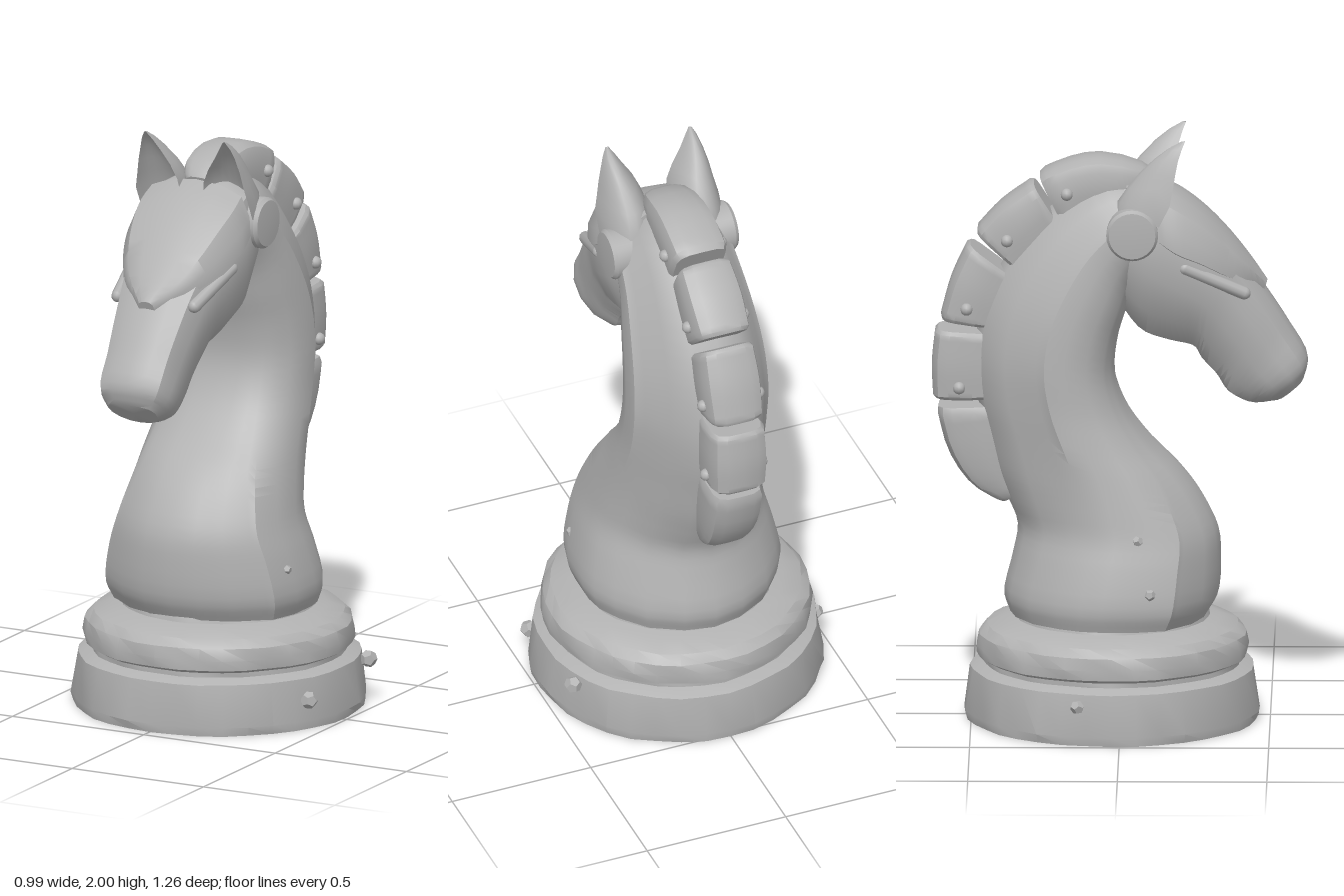
import * as THREE from 'three';
import { mergeVertices, toCreasedNormals } from 'three/addons/utils/BufferGeometryUtils.js';

const stone = new THREE.MeshStandardMaterial({ color: 0xb2b2b2 });
stone.name = 'grey stone';

function part(name, geometry, parent) {
  const mesh = new THREE.Mesh(geometry, stone);
  mesh.name = name;
  parent.add(mesh);
  return mesh;
}

// Skin a list of closed rings, cap both ends and turn the faces outwards
function skin(rings, crease = 0.6) {
  const n = rings[0].length, pos = [], idx = [];
  rings.forEach(r => r.forEach(p => pos.push(p.x, p.y, p.z)));
  for (let i = 0; i < rings.length - 1; i++) {
    for (let j = 0; j < n; j++) {
      const a = i * n + j, b = i * n + (j + 1) % n;
      idx.push(a, b, a + n, b, b + n, a + n);
    }
  }
  [0, rings.length - 1].forEach(i => {
    const c = new THREE.Vector3();
    rings[i].forEach(p => c.addScaledVector(p, 1 / n));
    const ci = pos.length / 3;
    pos.push(c.x, c.y, c.z);
    for (let j = 0; j < n; j++) {
      const a = i * n + j, b = i * n + (j + 1) % n;
      if (i === 0) idx.push(ci, b, a); else idx.push(ci, a, b);
    }
  });
  const v = k => new THREE.Vector3(pos[3 * k], pos[3 * k + 1], pos[3 * k + 2]);
  let volume = 0;
  for (let i = 0; i < idx.length; i += 3) volume += v(idx[i]).dot(v(idx[i + 1]).cross(v(idx[i + 2])));
  if (volume < 0) idx.reverse();
  const g = new THREE.BufferGeometry();
  g.setAttribute('position', new THREE.Float32BufferAttribute(pos, 3));
  g.setIndex(idx);
  return toCreasedNormals(g, crease);
}

// Mirrored cross-sections between two edge lines.
// rows: [z, y of first edge, z, y of second edge, half width]; profile(t): [[depth 0..1, width 0..1], ...]
function loft(rows, profile, steps, bevel = 1, crease = 0.6) {
  const A = new THREE.CatmullRomCurve3(rows.map(r => new THREE.Vector3(r[4], r[1], r[0])));
  const B = new THREE.CatmullRomCurve3(rows.map(r => new THREE.Vector3(0, r[3], r[2])));
  const ts = Array.from({ length: steps + 1 }, (_, i) => i / steps);
  if (bevel < 1) ts.splice(1, 0, 0.05), ts.splice(ts.length - 1, 0, 0.95);
  const rings = ts.map(t => {
    const a = A.getPoint(t), b = B.getPoint(t), w = a.x;
    a.x = 0;
    const half = profile(t).map(([u, f]) => a.clone().lerp(b, u).setX(w * f));
    const other = half.slice(1, -1).reverse().map(p => p.clone().setX(-p.x));
    const ring = [...half, ...other];
    if (bevel < 1 && (t === 0 || t === 1)) {
      const c = a.clone().lerp(b, 0.5);
      ring.forEach(p => p.sub(c).multiplyScalar(bevel).add(c));
    }
    return ring;
  });
  return skin(rings, crease);
}

function createBase(root) {
  // Stepped round foot with slightly worn edges
  const outline = [[0, 0], [0.488, 0], [0.494, 0.03], [0.474, 0.172], [0.45, 0.182], [0.43, 0.188], [0.43, 0.204],
    [0.452, 0.216], [0.455, 0.25], [0.447, 0.29], [0.42, 0.318], [0.36, 0.338], [0.325, 0.345], [0.32, 0.362], [0, 0.362]];
  const g = new THREE.LatheGeometry(outline.map(p => new THREE.Vector2(...p)), 36);
  g.deleteAttribute('normal');
  g.deleteAttribute('uv');
  const m = mergeVertices(g, 1e-4), p = m.attributes.position;
  for (let i = 0; i < p.count; i++) {
    const x = p.getX(i), y = p.getY(i), z = p.getZ(i), a = Math.atan2(z, x);
    const k = 1 + 0.006 * Math.sin(a * 7 + y * 30) + 0.006 * Math.sin(a * 13 - y * 50);
    p.setXYZ(i, x * k, y, z * k);
  }
  part('base', toCreasedNormals(m, 0.5), root).position.z = -0.028;
}

function createNeck(root) {
  const low = [[0, 0], [0.02, 0.3], [0.08, 0.6], [0.19, 0.86], [0.21, 0.92], [0.36, 1], [0.54, 1],
    [0.64, 0.96], [0.75, 0.84], [0.88, 0.62], [0.97, 0.3], [1, 0]];
  const high = [[0, 0], [0.01, 0.3], [0.03, 0.52], [0.06, 0.62], [0.08, 0.72], [0.2, 0.92], [0.36, 1],
    [0.5, 0.98], [0.56, 0.87], [0.78, 0.68], [0.95, 0.38], [1, 0]];
  // The raised side band moves forward as the neck rises
  const profile = t => {
    const k = THREE.MathUtils.smoothstep(t, 0.1, 0.6);
    return low.map((p, i) => [p[0] + (high[i][0] - p[0]) * k, p[1] + (high[i][1] - p[1]) * k]);
  };
  part('neck', loft([
    [0.29, 0.355, -0.37, 0.355, 0.33], [0.325, 0.42, -0.39, 0.42, 0.35], [0.335, 0.55, -0.36, 0.56, 0.328],
    [0.325, 0.65, -0.345, 0.66, 0.302], [0.27, 0.76, -0.38, 0.75, 0.285], [0.2, 0.85, -0.42, 0.85, 0.272],
    [0.1, 0.95, -0.45, 0.97, 0.26], [0.02, 1.06, -0.48, 1.1, 0.25], [-0.02, 1.18, -0.49, 1.25, 0.247],
    [-0.01, 1.3, -0.46, 1.42, 0.24], [0.02, 1.4, -0.38, 1.58, 0.228], [0.05, 1.5, -0.24, 1.74, 0.21],
    [0.1, 1.58, -0.08, 1.84, 0.195], [0.17, 1.62, 0.08, 1.85, 0.16],
  ], profile, 44), root);
}

function createHead(root) {
  const head = new THREE.Group();
  head.name = 'head';
  root.add(head);
  // Skull, jaw and muzzle
  const skull = [[0, 0], [0.015, 0.5], [0.1, 0.86], [0.3, 1], [0.55, 0.97], [0.8, 0.76], [0.96, 0.42], [1, 0]];
  part('skullAndMuzzle', loft([
    [0.02, 1.84, -0.01, 1.42, 0.18], [0.12, 1.83, 0.07, 1.32, 0.2], [0.22, 1.76, 0.165, 1.285, 0.195],
    [0.33, 1.655, 0.245, 1.265, 0.175], [0.42, 1.55, 0.27, 1.225, 0.155], [0.5, 1.44, 0.32, 1.17, 0.142],
    [0.565, 1.34, 0.36, 1.11, 0.132], [0.625, 1.23, 0.43, 1.078, 0.125], [0.612, 1.165, 0.52, 1.085, 0.09],
  ], () => skull, 28), head);
  // Shield-shaped forehead plate
  const shell = [[0, 0], [0.05, 0.45], [0.22, 0.83], [0.6, 0.98], [0.97, 1], [1, 0.94], [1, 0]];
  part('foreheadPlate', loft([
    [0.13, 1.835, 0.13, 1.66, 0.205], [0.2, 1.8, 0.19, 1.62, 0.21], [0.28, 1.74, 0.27, 1.585, 0.195],
    [0.36, 1.66, 0.34, 1.545, 0.165], [0.43, 1.575, 0.41, 1.505, 0.115], [0.49, 1.495, 0.475, 1.455, 0.03],
  ], () => shell, 16), head);
  // Hollow, forward-curving ear
  const ring = ([y, cx, rx, front, back]) => Array.from({ length: 20 }, (_, i) => {
    const a = i / 20 * Math.PI * 2, s = Math.sin(a);
    const depth = s > 0 ? s : -0.6 * s;
    return new THREE.Vector3(cx + rx * Math.cos(a), y, front - (front - back) * depth);
  });
  const earRows = [[1.72, 0.132, 0.08, 0.13, -0.02], [1.79, 0.128, 0.085, 0.165, -0.01], [1.84, 0.126, 0.076, 0.175, 0.025],
    [1.89, 0.133, 0.06, 0.183, 0.065], [1.94, 0.143, 0.037, 0.193, 0.115], [1.975, 0.148, 0.02, 0.205, 0.16],
    [2, 0.15, 0.004, 0.216, 0.204]];
  for (const side of [1, -1]) {
    const name = side > 0 ? 'left' : 'right';
    const rows = earRows.map(([y, cx, ...rest]) => [y, cx * side, ...rest]);
    part(name + 'Ear', skin(rows.map(ring), 0.8), head);
    // Round boss below the ear
    const boss = part(name + 'CheekBoss', toCreasedNormals(new THREE.LatheGeometry(
      [[0, -0.06], [0.085, -0.06], [0.087, 0.012], [0.078, 0.024], [0, 0.03]].map(p => new THREE.Vector2(...p)), 28), 0.5), head);
    boss.rotation.z = -side * Math.PI / 2;
    boss.position.set(side * 0.2, 1.69, 0.04);
    // Heavy brow under the plate
    const brow = part(name + 'Brow', new THREE.CapsuleGeometry(0.022, 0.22, 4, 10), head);
    brow.position.set(side * 0.162, 1.525, 0.315);
    brow.quaternion.setFromUnitVectors(new THREE.Vector3(0, 1, 0), new THREE.Vector3(side * 0.04, 0.11, -0.24).normalize());
  }
}

function createMane(root) {
  const mane = new THREE.Group();
  mane.name = 'mane';
  root.add(mane);
  const block = [[0, 0], [0.01, 0.55], [0.1, 0.88], [0.28, 1], [0.7, 1], [1, 0.92], [1, 0]];
  // Five blocks following the crest of the neck
  const blocks = [
    [[0.13, 1.845, 0.1, 1.77, 0.05], [0.07, 1.89, 0.05, 1.77, 0.08], [-0.07, 1.922, -0.04, 1.76, 0.094],
      [-0.17, 1.905, -0.12, 1.75, 0.098], [-0.275, 1.862, -0.2, 1.71, 0.098]],
    [[-0.295, 1.835, -0.21, 1.7, 0.095], [-0.4, 1.758, -0.29, 1.62, 0.1], [-0.487, 1.665, -0.35, 1.54, 0.095]],
    [[-0.51, 1.625, -0.37, 1.52, 0.095], [-0.567, 1.5, -0.41, 1.43, 0.1], [-0.605, 1.365, -0.44, 1.34, 0.095]],
    [[-0.62, 1.332, -0.44, 1.32, 0.095], [-0.632, 1.21, -0.44, 1.2, 0.1], [-0.628, 1.095, -0.44, 1.095, 0.095]],
    [[-0.618, 1.065, -0.44, 1.07, 0.092], [-0.577, 0.915, -0.41, 0.96, 0.09], [-0.5, 0.8, -0.38, 0.86, 0.08],
      [-0.4, 0.735, -0.33, 0.77, 0.06]],
  ];
  blocks.forEach((rows, i) => part('maneBlock' + (i + 1), loft(rows, () => block, 8, 0.9, 0.7), mane));
  // Studs on both sides of the blocks
  for (const [z, y] of [[-0.18, 1.805], [-0.38, 1.645], [-0.515, 1.41], [-0.54, 1.14]]) {
    for (const side of [1, -1]) {
      part('maneStud', new THREE.SphereGeometry(0.021, 10, 8), mane).position.set(side * 0.1, y, z);
    }
  }
}

function createChips(root) {
  // Small rough lumps of worn stone
  const spots = [[0.455, 0.15, -0.235, 0.03], [-0.335, 0.485, 0.1, 0.02], [0.325, 0.52, 0.1, 0.018],
    [0.45, 0.1, 0.17, 0.03], [-0.46, 0.13, -0.14, 0.025], [-0.29, 0.66, 0.06, 0.02]];
  spots.forEach(([x, y, z, r], i) => {
    const chip = part('stoneChip', new THREE.DodecahedronGeometry(r), root);
    chip.position.set(x, y, z);
    chip.rotation.set(i, i * 2, 0);
  });
}

export function createModel() {
  const root = new THREE.Group();
  root.name = 'chessKnight';
  createBase(root);
  createNeck(root);
  createHead(root);
  createMane(root);
  createChips(root);
  return root;
}
